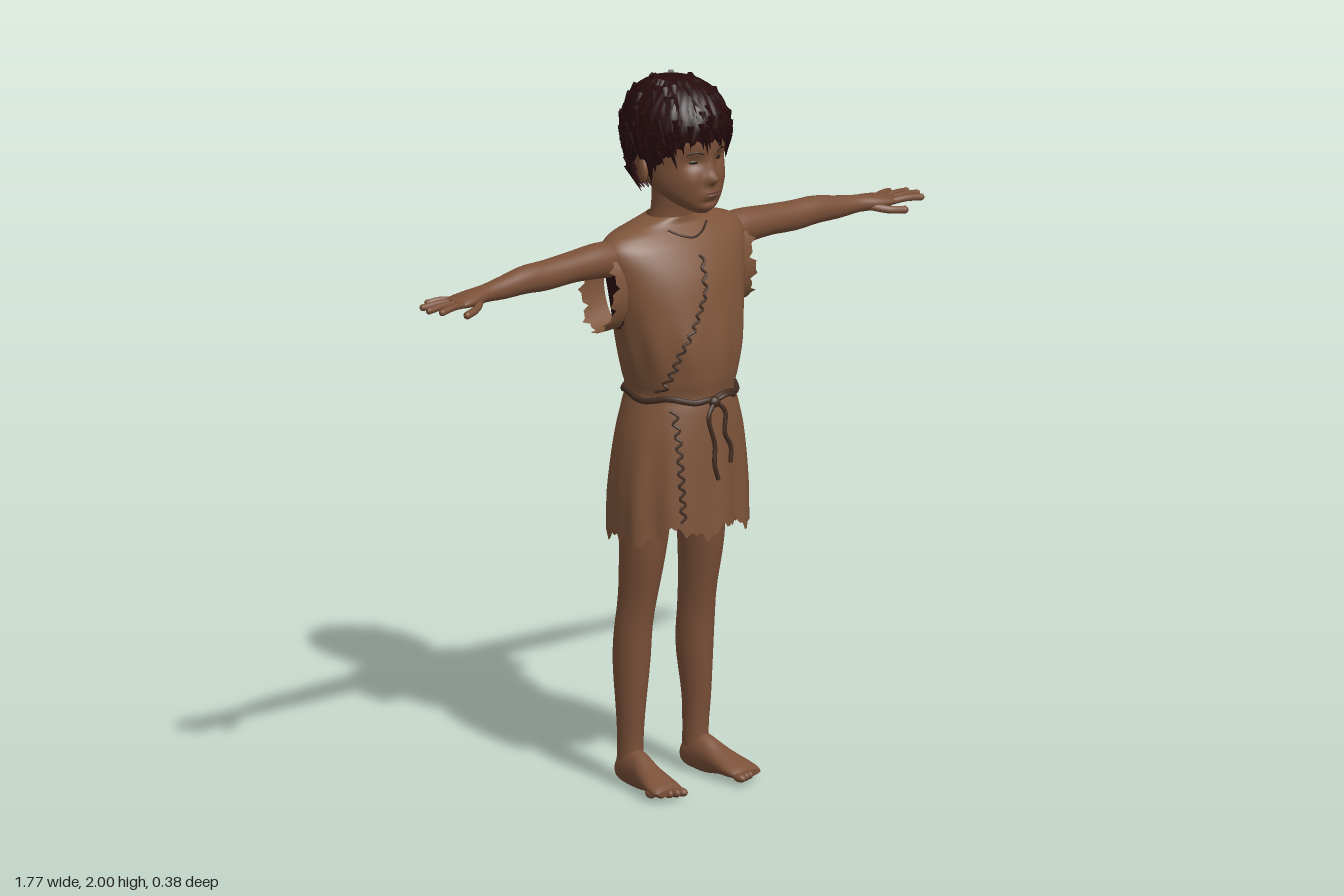
import * as THREE from 'three';
import { mergeGeometries } from 'three/addons/utils/BufferGeometryUtils.js';

const mat = (name, color, side = THREE.FrontSide) =>
  Object.assign(new THREE.MeshStandardMaterial({ color, side }), { name });
const V = (x, y, z) => new THREE.Vector3(x, y, z);
const bump = (d, s) => Math.exp(-(d * d) / (s * s));

// Smoothly interpolate cross-sections [y, cx, cz, rx, rz] at height y
function at(secs, y) {
  let i = 0;
  while (i < secs.length - 2 && y > secs[i + 1][0]) i++;
  const p = secs[i], q = secs[i + 1], o = secs[i - 1] || p, r = secs[i + 2] || q;
  const h = q[0] - p[0], t = THREE.MathUtils.clamp((y - p[0]) / h, 0, 1);
  return [1, 2, 3, 4].map((k) => {
    const m0 = ((q[k] - o[k]) / (q[0] - o[0])) * h, m1 = ((r[k] - p[k]) / (r[0] - p[0])) * h;
    const t2 = t * t, t3 = t2 * t;
    return (2 * t3 - 3 * t2 + 1) * p[k] + (t3 - 2 * t2 + t) * m0 + (3 * t2 - 2 * t3) * q[k] + (t3 - t2) * m1;
  });
}

// Point on a lofted body; angle 0 faces the front
function surf(secs, a, y, scale = 1) {
  const [cx, cz, rx, rz] = at(secs, y);
  return V(cx + rx * scale * Math.sin(a), y, cz + rz * scale * Math.cos(a));
}

// Closed-ring loft: shape(v, a, w) bends vertices, start(a) sets the lower edge, pick(centre) fills group 1
function loft(secs, { n = 28, steps = 32, caps = true, shape, start, pick } = {}) {
  const pos = [], groups = [[], []], lo = secs[0][0], hi = secs[secs.length - 1][0];
  for (let i = 0; i <= steps; i++) for (let j = 0; j < n; j++) {
    const a = (j / n) * Math.PI * 2, w = (1 - Math.cos((Math.PI * i) / steps)) / 2;
    const y0 = start ? start(a) : lo, v = surf(secs, a, y0 + (hi - y0) * w);
    if (shape) shape(v, a, w);
    pos.push(v);
  }
  const tri = (a, b, c) => {
    const m = pos[a].clone().add(pos[b]).add(pos[c]).divideScalar(3);
    groups[pick && pick(m) ? 1 : 0].push(a, b, c);
  };
  for (let i = 0; i < steps; i++) for (let j = 0; j < n; j++) {
    const k = (j + 1) % n, a = i * n + j, b = i * n + k;
    tri(a, b, b + n); tri(a, b + n, a + n);
  }
  if (caps) for (const row of start ? [steps] : [0, steps]) {
    const c = V(0, 0, 0);
    for (let j = 0; j < n; j++) c.addScaledVector(pos[row * n + j], 1 / n);
    pos.push(c);
    for (let j = 0; j < n; j++) {
      const a = row * n + j, b = row * n + ((j + 1) % n);
      row ? tri(a, b, pos.length - 1) : tri(b, a, pos.length - 1);
    }
  }
  const g = new THREE.BufferGeometry().setFromPoints(pos);
  g.setIndex([...groups[0], ...groups[1]]);
  if (pick) {
    g.addGroup(0, groups[0].length, 0);
    g.addGroup(groups[0].length, groups[1].length, 1);
  }
  g.computeVertexNormals();
  return g;
}

function mirror(geo) {
  const g = geo.clone().scale(-1, 1, 1), ix = g.index.array;
  for (let i = 0; i < ix.length; i += 3) [ix[i], ix[i + 1]] = [ix[i + 1], ix[i]];
  return g;
}
const ball = (p, sx, sy, sz) => new THREE.SphereGeometry(1, 16, 12).scale(sx, sy, sz).translate(...p);
const cord = (pts, r, closed = false) =>
  new THREE.TubeGeometry(new THREE.CatmullRomCurve3(pts, closed), pts.length * 4, r, 7, closed);
const digit = (pts, r) => mergeGeometries([cord(pts, r), ball(pts[pts.length - 1].toArray(), r, r, r)]);

const HEAD = [[1.632, 0, .085, .02, .025], [1.65, 0, .068, .052, .06], [1.68, 0, .042, .085, .09],
  [1.72, 0, .01, .108, .12], [1.78, 0, -.012, .12, .14], [1.84, 0, -.015, .124, .148],
  [1.9, 0, -.02, .117, .138], [1.95, 0, -.02, .09, .105], [1.98, 0, -.02, .04, .05]];
const HAIR = [[1.65, 0, -.03, .075, .07], [1.7, 0, -.03, .105, .115], [1.76, 0, -.025, .127, .145],
  [1.83, 0, -.02, .138, .16], [1.89, 0, -.017, .135, .158], [1.94, 0, -.018, .113, .133],
  [1.975, 0, -.02, .075, .09], [1.993, 0, -.02, .025, .03]];
const TUNIC = [[.745, 0, -.005, .203, .174], [.85, 0, -.005, .203, .17], [1, 0, -.002, .185, .16],
  [1.09, 0, 0, .16, .15], [1.12, 0, 0, .15, .144], [1.16, 0, 0, .16, .152], [1.25, 0, 0, .183, .155],
  [1.35, 0, -.008, .203, .148], [1.45, 0, -.02, .222, .135], [1.53, 0, -.035, .238, .11],
  [1.565, 0, -.04, .21, .085], [1.585, 0, -.04, .15, .068], [1.605, 0, -.035, .075, .06]];
const LEG = [[.035, .118, -.07, .034, .042], [.12, .117, -.07, .033, .04], [.2, .118, -.068, .036, .045],
  [.35, .113, -.07, .047, .058], [.45, .112, -.062, .047, .058], [.52, .108, -.052, .047, .06],
  [.65, .105, -.035, .058, .07], [.75, .1, -.03, .065, .077], [.95, .095, -.02, .07, .085]];
// Arm runs along x and foot along z; both are turned after lofting
const ARM = [[.16, -1.5, -.045, .05, .05], [.25, -1.51, -.045, .05, .047], [.35, -1.51, -.045, .043, .042],
  [.45, -1.505, -.045, .042, .038], [.52, -1.507, -.045, .039, .036], [.6, -1.5, -.043, .032, .03],
  [.67, -1.497, -.04, .024, .027], [.71, -1.495, -.037, .023, .035], [.76, -1.492, -.037, .017, .042],
  [.788, -1.49, -.038, .011, .037]];
const FOOT = [[-.115, .116, -.03, .012, .014], [-.1, .117, -.035, .031, .036], [-.06, .119, -.045, .036, .055],
  [-.02, .122, -.04, .036, .052], [.03, .13, -.03, .043, .036], [.08, .137, -.02, .051, .025],
  [.11, .14, -.015, .05, .017], [.125, .141, -.013, .042, .01]];
const SLEEVE = [[.17, -1.43, -.047, .12, .072], [.22, -1.428, -.047, .12, .071], [.25, -1.428, -.047, .122, .068]];

const HAIRLINE = [[0, 1.845], [.6, 1.84], [1, 1.79], [1.3, 1.75], [1.55, 1.79], [1.8, 1.76], [2.1, 1.68], [3.15, 1.66]];
function hairline(a) {
  const s = a > Math.PI ? a - 2 * Math.PI : a, d = Math.abs(s);
  const i = Math.max(1, HAIRLINE.findIndex((p) => p[0] >= d));
  const [p, q] = [HAIRLINE[i - 1], HAIRLINE[i]];
  return THREE.MathUtils.mapLinear(d, p[0], q[0], p[1], q[1]) - .025 * bump(s - .65, .35) + .007 * Math.sin(a * 31);
}

// Folds in the cloth and its torn hem
function drape(v, a, w) {
  const low = THREE.MathUtils.clamp((1.1 - v.y) / .3, 0, 1);
  const high = bump(v.y - 1.24, .1);
  const k = 1 + low * (.028 * Math.sin(9 * a + 1) + .014 * Math.sin(14 * a)) + high * .018 * Math.sin(11 * a);
  v.x *= k; v.z *= k;
  const tear = .014 * Math.sin(7 * a) + .01 * Math.sin(17 * a + 1) + .008 * Math.sin(39 * a) - .035 * Math.sin(a) ** 8;
  v.y += tear * (1 - THREE.MathUtils.smoothstep(w, 0, .12));
}
function onTunic(x, y, out = .004) {
  const v = surf(TUNIC, Math.asin(x / at(TUNIC, y)[2]), y);
  drape(v, Math.asin(x / at(TUNIC, y)[2]), 1);
  return v.add(V(0, 0, out));
}

// Nose, eye sockets, lips and chin
function face(v, a) {
  if (Math.cos(a) < .2) return;
  const x = Math.abs(v.x), y = v.y;
  v.z += .024 * bump(x, .017) * bump(y - 1.733, .016) + .011 * bump(x, .013) * bump(y - 1.76, .03)
    - .011 * bump(x - .043, .024) * bump(y - 1.782, .017) + .008 * bump(x, .03) * bump(y - 1.692, .017)
    - .007 * bump(x, .03) * bump(y - 1.667, .008) + .007 * bump(x - .06, .03) * bump(y - 1.73, .03);
}

export function createModel() {
  const root = new THREE.Group();
  root.name = 'child';
  const skin = mat('skin', 0x7a5038), cloth = mat('tunic cloth', 0x7d543a, THREE.DoubleSide);
  const lining = mat('dark lining', 0x2c1011, THREE.DoubleSide), hair = mat('hair', 0x260b0d, THREE.DoubleSide);
  const rope = mat('cord', 0x412c21), eyeDark = mat('eye', 0x2b1b15), lip = mat('lips', 0x6c4234);
  const add = (name, geo, m) => {
    const mesh = new THREE.Mesh(geo, m);
    mesh.name = name;
    root.add(mesh);
  };
  const pair = (name, geo, m) => { add('left ' + name, geo, m); add('right ' + name, mirror(geo), m); };

  // Head and face
  add('head', loft(HEAD, { n: 96, steps: 72, shape: face }), skin);
  add('neck', loft([[1.53, 0, -.04, .085, .06], [1.59, 0, -.036, .066, .057], [1.63, 0, -.03, .06, .056],
    [1.71, 0, -.02, .065, .065]]), skin);
  pair('ear', ball([0, 0, 0], .012, .036, .023).rotateY(.3).translate(.126, 1.75, -.008), skin);
  const onFace = (x, y) => {
    const a = Math.asin(x / at(HEAD, y)[2]), v = surf(HEAD, a, y);
    face(v, a);
    return v;
  };
  pair('eye', ball([0, 0, 0], .015, .006, .004).rotateY(.35).translate(...onFace(.043, 1.782).toArray()), eyeDark);
  pair('eyebrow', cord([[.022, 1.806], [.045, 1.812], [.068, 1.805]].map((p) => onFace(...p)), .0025), eyeDark);
  add('lips', mergeGeometries([ball(onFace(0, 1.697).toArray(), .023, .0045, .005),
    ball(onFace(0, 1.687).toArray(), .019, .005, .005)]), lip);

  // Hair: ridged cap with loose locks
  add('hair cap', loft(HAIR, { n: 120, steps: 28, start: hairline, shape: (v, a) => {
    const k = 1 + .012 * Math.sin(a * 30 + 3 * Math.sin(v.y * 40)) + .008 * Math.sin(a * 17 - v.y * 50);
    v.x *= k; v.z *= k;
  } }), hair);
  let seed = 7;
  const rnd = () => (seed = (seed * 16807) % 2147483647) / 2147483647;
  const locks = [];
  for (let i = 0; i < 150; i++) {
    const fringe = i < 55, a = fringe ? (rnd() - .5) * 3 : rnd() * 6.28;
    const low = hairline((a + 6.2832) % 6.2832), y = fringe ? low + .03 + rnd() * .04 : low + .05 + rnd() * (1.96 - low);
    const top = Math.min(y, 1.985), drop = .05 + rnd() * .03;
    const p = surf(HAIR, a, top, .99), q = surf(HAIR, a + .25 * (rnd() - .2), Math.max(top - drop, 1.66), 1.03);
    const d = q.clone().sub(p), g = new THREE.ConeGeometry(.011, d.length(), 5);
    g.applyQuaternion(new THREE.Quaternion().setFromUnitVectors(V(0, 1, 0), d.normalize()));
    locks.push(g.translate(...p.add(q).multiplyScalar(.5).toArray()));
  }
  add('hair locks', mergeGeometries(locks), hair);

  // Arms, hands, legs and feet
  pair('arm', loft(ARM).rotateZ(-Math.PI / 2), skin);
  const fingers = [[-.07, .828, -.09], [-.05, .868, -.063], [-.028, .876, -.028], [-.008, .86, .008]].map(([z, x, tz]) =>
    digit([V(.765, 1.491, z), V((.765 + x) / 2, 1.494, (z + tz) / 2), V(x, 1.49, tz)], .0095));
  fingers.push(digit([V(.7, 1.488, -.02), V(.74, 1.478, .012), V(.785, 1.472, .026)], .011));
  pair('fingers', mergeGeometries(fingers), skin);
  pair('leg', loft(LEG), skin);
  pair('foot', loft(FOOT).rotateX(Math.PI / 2).translate(0, .004, 0), skin);
  pair('toes', mergeGeometries([0, 1, 2, 3, 4].map((i) =>
    ball([.105 + i * .019, .013, .128 - i * i * .0025], i ? .01 : .014, .0125, i ? .019 : .023))), skin);

  // Tunic with dark armholes and torn sleeve edges
  add('tunic', loft(TUNIC, { n: 120, steps: 90, caps: false, shape: drape, pick: (c) => Math.abs(c.x) > .12 &&
    ((c.y - 1.42) / .118) ** 2 + ((c.z + .047) / .066) ** 2 < 1 }), [cloth, lining]);
  pair('sleeve edge', loft(SLEEVE, { n: 60, steps: 10, caps: false, shape: (v, a, w) => {
    v.y += w * (.009 * Math.sin(a * 9) + .009 * Math.sin(a * 23 + 1) + .01 * Math.sin(a));
  } }).rotateZ(-Math.PI / 2), cloth);

  // Laced seam down the front
  const seam = (x0, y0, x1, y1, n) => cord(Array.from({ length: n + 1 }, (_, i) => {
    const t = i / n, wob = (i % 2 ? 1 : -1) * .007;
    return onTunic(x0 + (x1 - x0) * t + wob, y0 + (y1 - y0) * t);
  }), .004);
  add('upper seam', mergeGeometries([seam(0, 1.51, -.02, 1.41, 6), seam(-.02, 1.41, -.11, 1.25, 12),
    seam(-.11, 1.25, -.135, 1.14, 8)]), rope);
  add('lower seam', seam(-.115, 1.09, -.11, .78, 18), rope);
  add('neck stitches', cord([[-.07, 1.578], [-.035, 1.56], [0, 1.552], [.035, 1.56], [.07, 1.578]]
    .map((p) => onTunic(...p)), .003), rope);

  // Belt, knot and hanging ends
  add('belt', cord(Array.from({ length: 32 }, (_, i) =>
    surf(TUNIC, (i / 32) * Math.PI * 2, 1.115 + .006 * Math.sin(i * 1.2), 1.03)), .009, true), rope);
  add('belt knot', ball([-.01, 1.108, .157], .018, .016, .014), rope);
  add('belt ends', mergeGeometries([
    cord([V(-.012, 1.11, .16), V(-.04, 1.07, .168), V(-.025, .99, .176), V(-.03, .94, .18), V(-.018, .895, .182)], .0065),
    cord([V(-.008, 1.11, .16), V(.018, 1.08, .168), V(.012, 1.02, .174), V(.03, .98, .178), V(.026, .935, .182)], .0065),
    cord([V(-.01, 1.11, .16), V(.03, 1.122, .162), V(.07, 1.11, .146)], .006)]), rope);
  return root;
}
